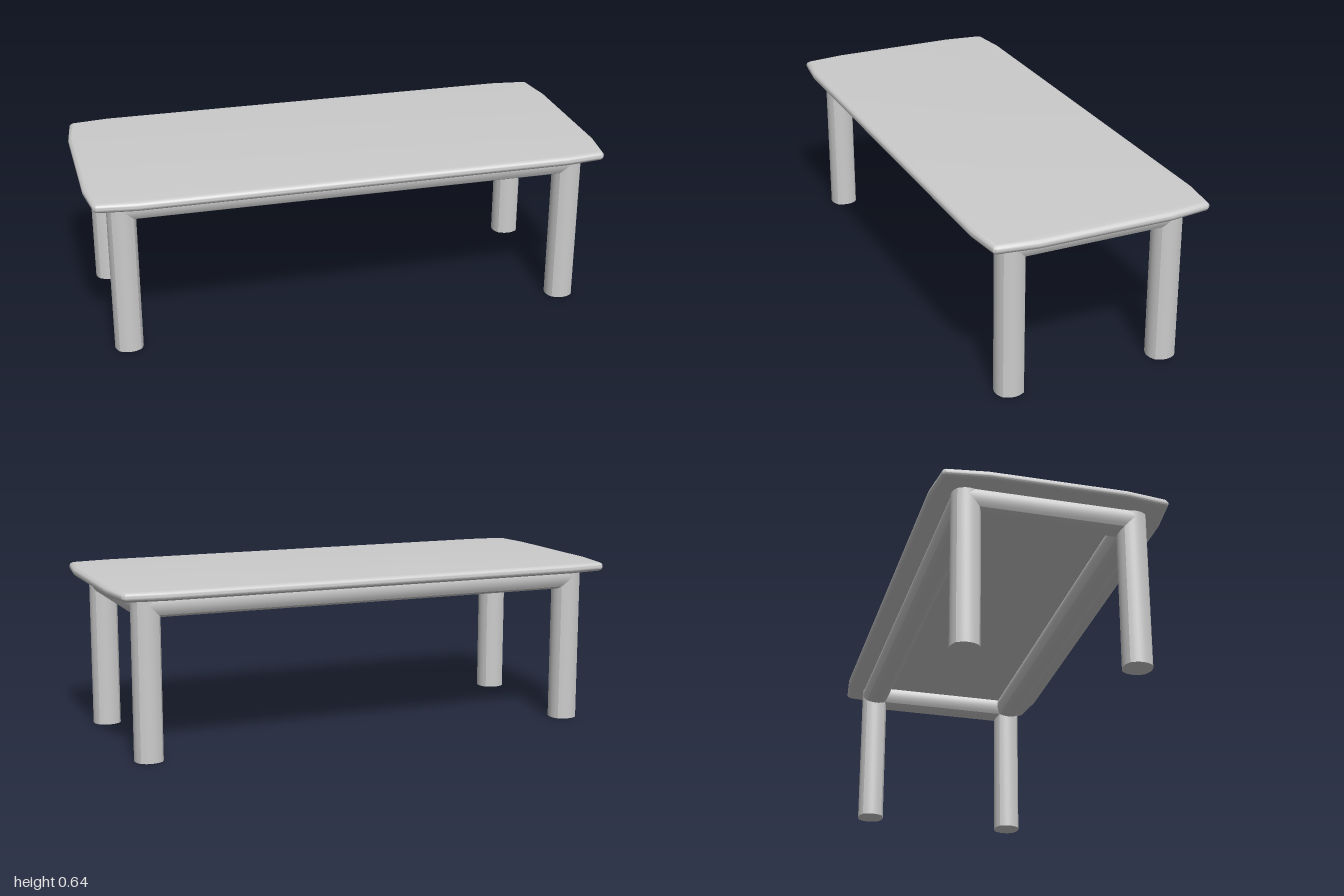
import * as THREE from 'three';
import { toCreasedNormals } from 'three/addons/utils/BufferGeometryUtils.js';

const material = new THREE.MeshStandardMaterial({ color: 0xcccccc });
const LEG_X = 0.87, LEG_Z = 0.309, RAIL_Y = 0.583;

// Square section with softly bulging sides and crisp corners
function barSection() {
  const c = 0.0405, k = 0.0675;
  const s = new THREE.Shape();
  s.moveTo(-c, -c);
  s.quadraticCurveTo(0, -k, c, -c);
  s.quadraticCurveTo(k, 0, c, c);
  s.quadraticCurveTo(0, k, -c, c);
  s.quadraticCurveTo(-k, 0, -c, -c);
  return s;
}

// Bar of the given length, centred on the origin and running along z
function bar(name, length) {
  const geo = new THREE.ExtrudeGeometry(barSection(), { depth: length, bevelEnabled: false, curveSegments: 8 });
  geo.translate(0, 0, -length / 2);
  const mesh = new THREE.Mesh(toCreasedNormals(geo, 0.4), material);
  mesh.name = name;
  return mesh;
}

// Slab with slightly tapered sides and a fully rounded edge
function tableTop() {
  const quarter = [[1, 0.255], [0.98, 0.407], [0.971, 0.418], [0.825, 0.436]];
  const mirrored = [...quarter].reverse();
  const outline = [
    ...quarter,
    ...mirrored.map(([x, z]) => [-x, z]),
    ...quarter.map(([x, z]) => [-x, -z]),
    ...mirrored.map(([x, z]) => [x, -z]),
  ].map(([x, z]) => new THREE.Vector2(x, z));
  const geo = new THREE.ExtrudeGeometry(new THREE.Shape(outline), {
    depth: 0.002, bevelThickness: 0.0168, bevelSize: 0.02, bevelOffset: -0.02, bevelSegments: 6,
  });
  geo.rotateX(-Math.PI / 2);
  geo.translate(0, 0.6222, 0);
  const mesh = new THREE.Mesh(toCreasedNormals(geo, 0.5), material);
  mesh.name = 'tableTop';
  return mesh;
}

export function createModel() {
  const table = new THREE.Group();
  table.name = 'table';
  table.add(tableTop());

  // Legs
  const legHeight = 0.634;
  for (const [sx, side] of [[1, 'Left'], [-1, 'Right']]) {
    for (const [sz, end] of [[1, 'front'], [-1, 'back']]) {
      const leg = bar(`${end}${side}Leg`, legHeight);
      leg.rotation.x = -Math.PI / 2;
      leg.position.set(sx * LEG_X, legHeight / 2, sz * LEG_Z);
      table.add(leg);
    }
  }

  // Rails under the top, running between the leg centres
  for (const [s, long, short] of [[1, 'front', 'left'], [-1, 'back', 'right']]) {
    const longRail = bar(`${long}Rail`, LEG_X * 2);
    longRail.rotation.y = Math.PI / 2;
    longRail.position.set(0, RAIL_Y, s * LEG_Z);
    const shortRail = bar(`${short}Rail`, LEG_Z * 2);
    shortRail.position.set(s * LEG_X, RAIL_Y, 0);
    table.add(longRail, shortRail);
  }
  return table;
}
